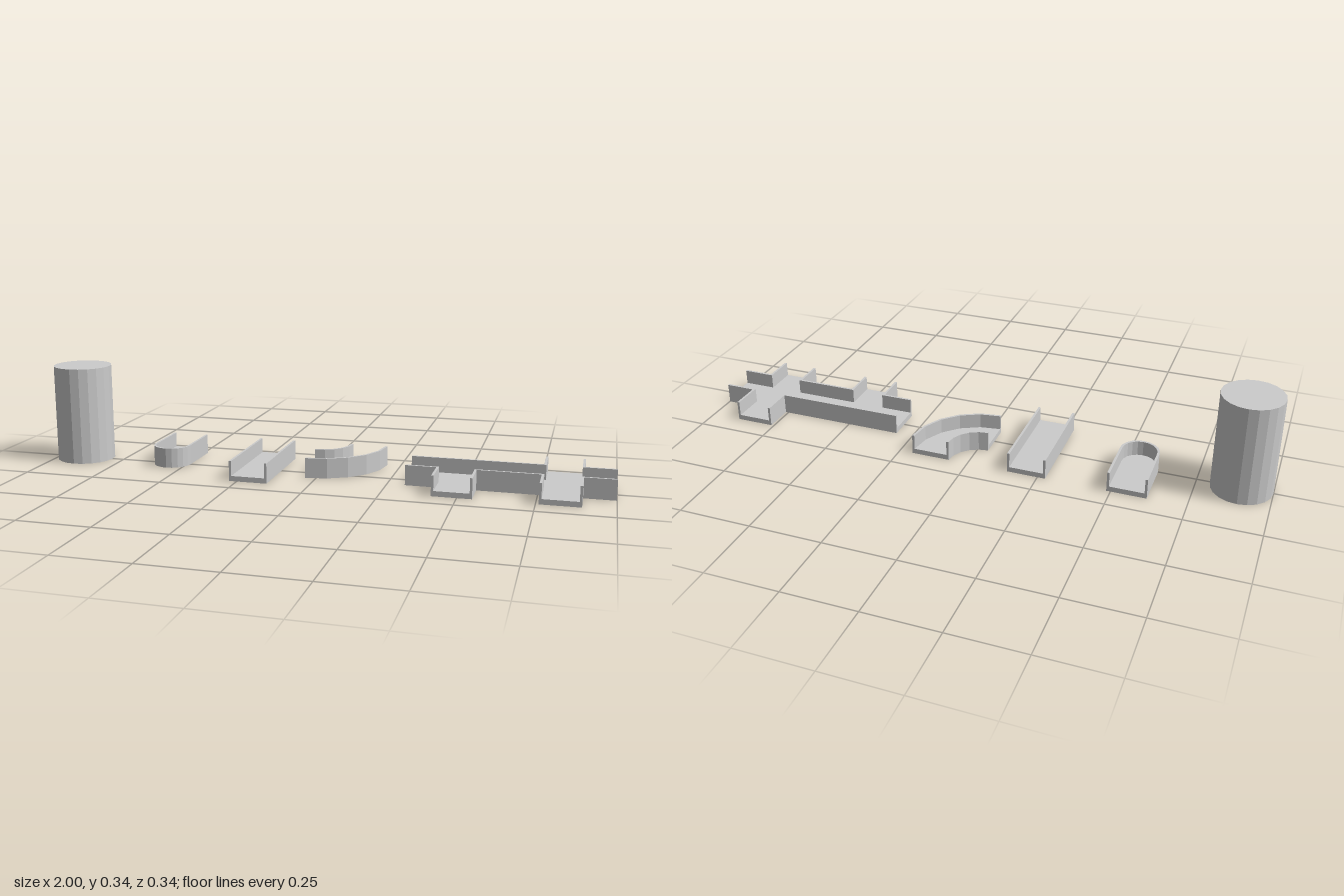
import * as THREE from 'three';

const W = 0.067;      // half outer width of a channel
const I = 0.059;      // half inner width
const L = 0.172;      // half length of a tile
const FLOOR = 0.018;  // floor thickness
const H = 0.07;       // wall top

const material = new THREE.MeshStandardMaterial({ color: 0xcccccc, flatShading: true });

// Points are [x, back], where back = -z
function slab(name, points, y0, y1) {
  const shape = new THREE.Shape(points.map(([x, b]) => new THREE.Vector2(x, b)));
  const geometry = new THREE.ExtrudeGeometry(shape, { depth: y1 - y0, bevelEnabled: false });
  geometry.rotateX(-Math.PI / 2).translate(0, y0, 0);
  const mesh = new THREE.Mesh(geometry, material);
  mesh.name = name;
  return mesh;
}
const floor = (points) => slab('floor', points, 0, FLOOR);
const wall = (points) => slab('wall', points, FLOOR, H);

// Faceted arc with 18 degree steps
function arc(cx, cb, r, from, to) {
  const n = Math.round(Math.abs(to - from) / 18);
  return Array.from({ length: n + 1 }, (_, i) => {
    const a = THREE.MathUtils.degToRad(from + (to - from) * i / n);
    return [cx + r * Math.cos(a), cb + r * Math.sin(a)];
  });
}

function tile(name, x, parts) {
  const group = new THREE.Group();
  group.name = name;
  group.position.x = x;
  group.add(...parts);
  return group;
}

// Straight wall along the back (side 1) or front (side -1) of a tile
const sideWall = (side) => wall([[-L, side * I], [L, side * I], [L, side * W], [-L, side * W]]);

// L-shaped wall in the corner between two arms
const cornerWall = (sx, sb) => wall(
  [[L, I], [L, W], [W, W], [W, L], [I, L], [I, I]].map(([x, b]) => [x * sx, b * sb]));

export function createModel() {
  const model = new THREE.Group();

  // Solid pillar
  const pillar = new THREE.Mesh(new THREE.CylinderGeometry(0.103, 0.103, 0.345, 20), material);
  pillar.name = 'pillar';
  pillar.position.set(-0.897, 0.1725, 0);
  model.add(pillar);

  // Dead end, open at the back and rounded at the front
  const outerEnd = [[-W, L], ...arc(0, 0, W, 180, 360), [W, L]];
  const innerEnd = [[I, L], ...arc(0, 0, I, 360, 180), [-I, L]];
  model.add(tile('deadEndChannel', -0.553, [floor(outerEnd), wall([...outerEnd, ...innerEnd])]));

  // Straight channel running front to back
  const straight = tile('straightChannel', -0.21, [
    floor([[-L, -W], [L, -W], [L, W], [-L, W]]), sideWall(1), sideWall(-1),
  ]);
  straight.rotation.y = Math.PI / 2;
  model.add(straight);

  // Quarter bend from the right side to the back
  const bend = (r, from, to) => arc(-L, L, r, from, to);
  const ring = (r0, r1) => [...bend(r1, -90, 0), ...bend(r0, 0, -90)];
  model.add(tile('bendChannel', 0.135, [
    floor(ring(L - W, L + W)), wall(ring(L - W, L - I)), wall(ring(L + I, L + W)),
  ]));

  // Three-way junction, branch towards the front
  model.add(tile('teeChannel', 0.483, [
    floor([[-L, -W], [-W, -W], [-W, -L], [W, -L], [W, -W], [L, -W], [L, W], [-L, W]]),
    sideWall(1), cornerWall(1, -1), cornerWall(-1, -1),
  ]));

  // Four-way junction
  model.add(tile('crossChannel', 0.827, [
    floor([[-L, -W], [-W, -W], [-W, -L], [W, -L], [W, -W], [L, -W],
      [L, W], [W, W], [W, L], [-W, L], [-W, W], [-L, W]]),
    cornerWall(1, 1), cornerWall(-1, 1), cornerWall(1, -1), cornerWall(-1, -1),
  ]));

  return model;
}
